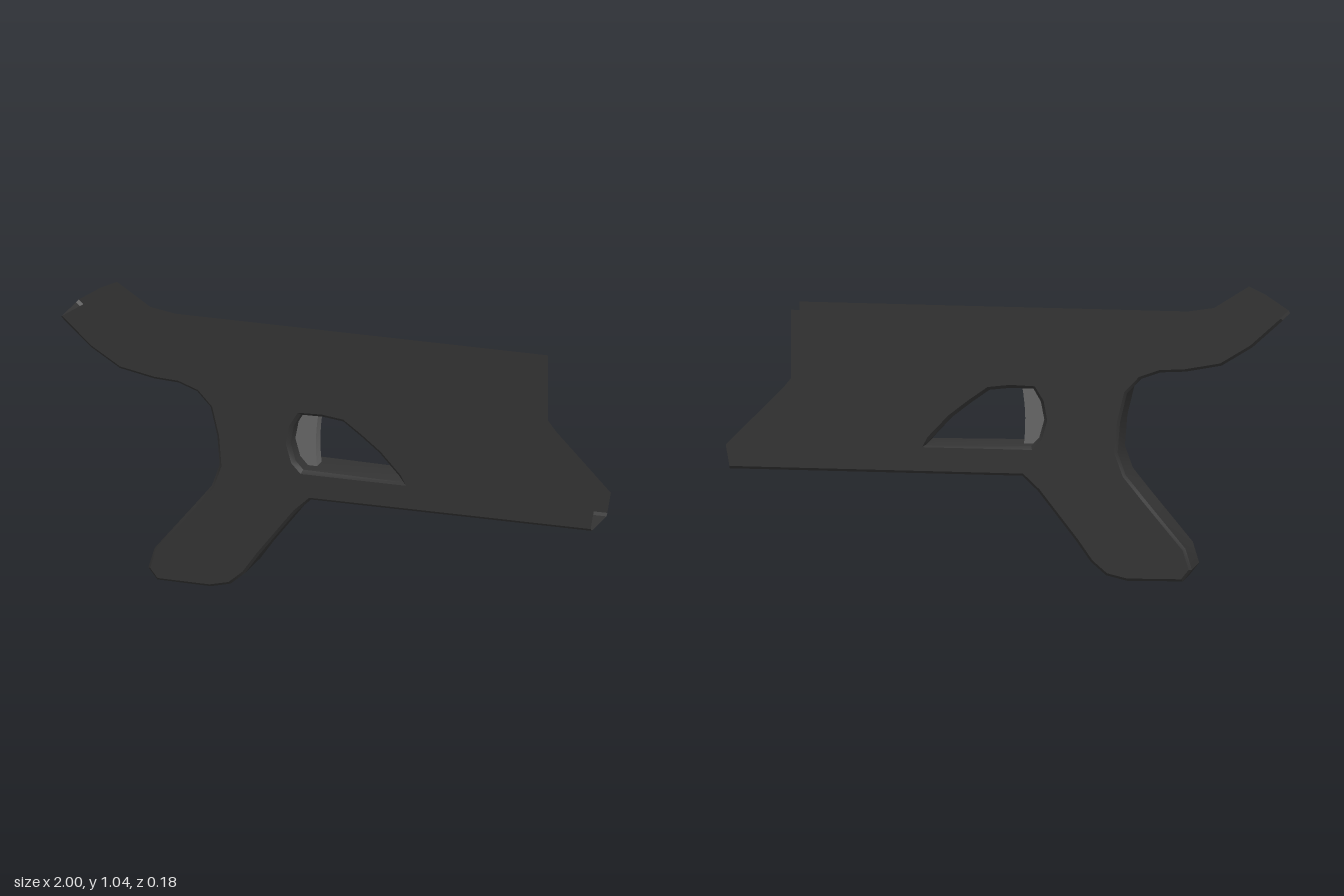
import * as THREE from 'three';
import { toCreasedNormals } from 'three/addons/utils/BufferGeometryUtils.js';

const W = 0.092; // half width of the frame

const material = (color) => new THREE.MeshStandardMaterial({ color, side: THREE.DoubleSide });
const points = (list) => list.map(([x, y]) => new THREE.Vector2(x, y));

// Shifts a path sideways; positive distance moves it to its left
function offset(path, distance, closed) {
  const n = path.length;
  return path.map((p, i) => {
    const prev = closed ? path[(i + n - 1) % n] : path[Math.max(i - 1, 0)];
    const next = closed ? path[(i + 1) % n] : path[Math.min(i + 1, n - 1)];
    const a = p.clone().sub(prev).normalize();
    const b = next.clone().sub(p).normalize();
    const d = a.add(b).normalize();
    return new THREE.Vector2(p.x - d.y * distance, p.y + d.x * distance);
  });
}

// Skin across a series of paths, each at its own depth z
function skin(rows, closed) {
  const n = rows[0].path.length;
  const position = [];
  const index = [];
  for (const { path, z } of rows) for (const p of path) position.push(p.x, p.y, z);
  for (let j = 0; j < rows.length - 1; j++) {
    for (let i = 0; i < (closed ? n : n - 1); i++) {
      const a = j * n + i;
      const b = j * n + ((i + 1) % n);
      index.push(a, b, b + n, a, b + n, a + n);
    }
  }
  const geometry = new THREE.BufferGeometry();
  geometry.setAttribute('position', new THREE.Float32BufferAttribute(position, 3));
  geometry.setIndex(index);
  return toCreasedNormals(geometry, 0.6);
}

export function createModel() {
  const model = new THREE.Group();
  model.name = 'frame';
  const dark = material(0x333333);
  const grey = material(0x666666);
  const add = (name, geometry, mat = dark) => {
    const mesh = new THREE.Mesh(geometry, mat);
    mesh.name = name;
    model.add(mesh);
    return mesh;
  };

  // Closed lower edge: tang, backstrap, grip end, front strap, underside
  const lower = points([
    [-1, 0.95], [-0.89, 0.85], [-0.78, 0.782], [-0.65, 0.757], [-0.56, 0.752],
    [-0.49, 0.727], [-0.44, 0.674], [-0.415, 0.57], [-0.406, 0.46], [-0.435, 0.38],
    [-0.5, 0.3], [-0.65, 0.12], [-0.673, 0.045], [-0.64, 0.003], [-0.44, 0],
    [-0.365, 0.018], [-0.31, 0.065], [-0.257, 0.14], [-0.12, 0.315], [-0.064, 0.368],
    [0.987, 0.368],
  ]);
  // Open upper edge, from the front tip back to the tang
  const upper = points([
    [1, 0.455], [0.795, 0.662], [0.765, 0.7], [0.765, 0.945], [-0.63, 0.945],
    [-0.725, 0.96], [-0.85, 1.04], [-0.91, 1.012],
  ]);
  // Trigger opening, clockwise
  const opening = points([
    [-0.1, 0.463], [-0.135, 0.5], [-0.155, 0.57], [-0.142, 0.64], [-0.11, 0.692],
    [-0.02, 0.695], [0.06, 0.685], [0.13, 0.635], [0.2, 0.58], [0.275, 0.5], [0.295, 0.463],
  ]);

  // Thin side walls
  const inset = offset(lower, 0.01, false);
  const wallShape = new THREE.Shape([...inset, ...upper]);
  wallShape.holes.push(new THREE.Path(opening));
  const wallGeometry = new THREE.ShapeGeometry(wallShape);
  for (const [name, s] of [['frontWall', 1], ['backWall', -1]]) {
    const wall = add(name, wallGeometry);
    wall.position.z = s * W;
    wall.scale.z = s;
  }

  // Bevelled edge strip joining the walls; top and front stay open
  add('edgeStrip', skin([
    { path: inset, z: -W }, { path: lower, z: -W + 0.01 },
    { path: lower, z: W - 0.01 }, { path: inset, z: W },
  ], false));

  // Tunnel through the trigger opening
  const tunnel = offset(opening, -0.013, true);
  add('triggerOpening', skin([
    { path: opening, z: -W }, { path: tunnel, z: -W + 0.015 },
    { path: tunnel, z: W - 0.015 }, { path: opening, z: W },
  ], true));

  // Trigger blade with a hollow front curve
  const blade = new THREE.Shape();
  blade.moveTo(-0.11, 0.43);
  blade.lineTo(-0.055, 0.435);
  blade.quadraticCurveTo(-0.078, 0.57, -0.05, 0.7);
  blade.lineTo(-0.16, 0.7);
  blade.quadraticCurveTo(-0.155, 0.55, -0.11, 0.43);
  const bladeGeometry = new THREE.ExtrudeGeometry(blade, { depth: 0.05, bevelEnabled: false, curveSegments: 6 });
  bladeGeometry.translate(0, 0, -0.025);
  add('trigger', toCreasedNormals(bladeGeometry, 0.6), grey);

  return model;
}
